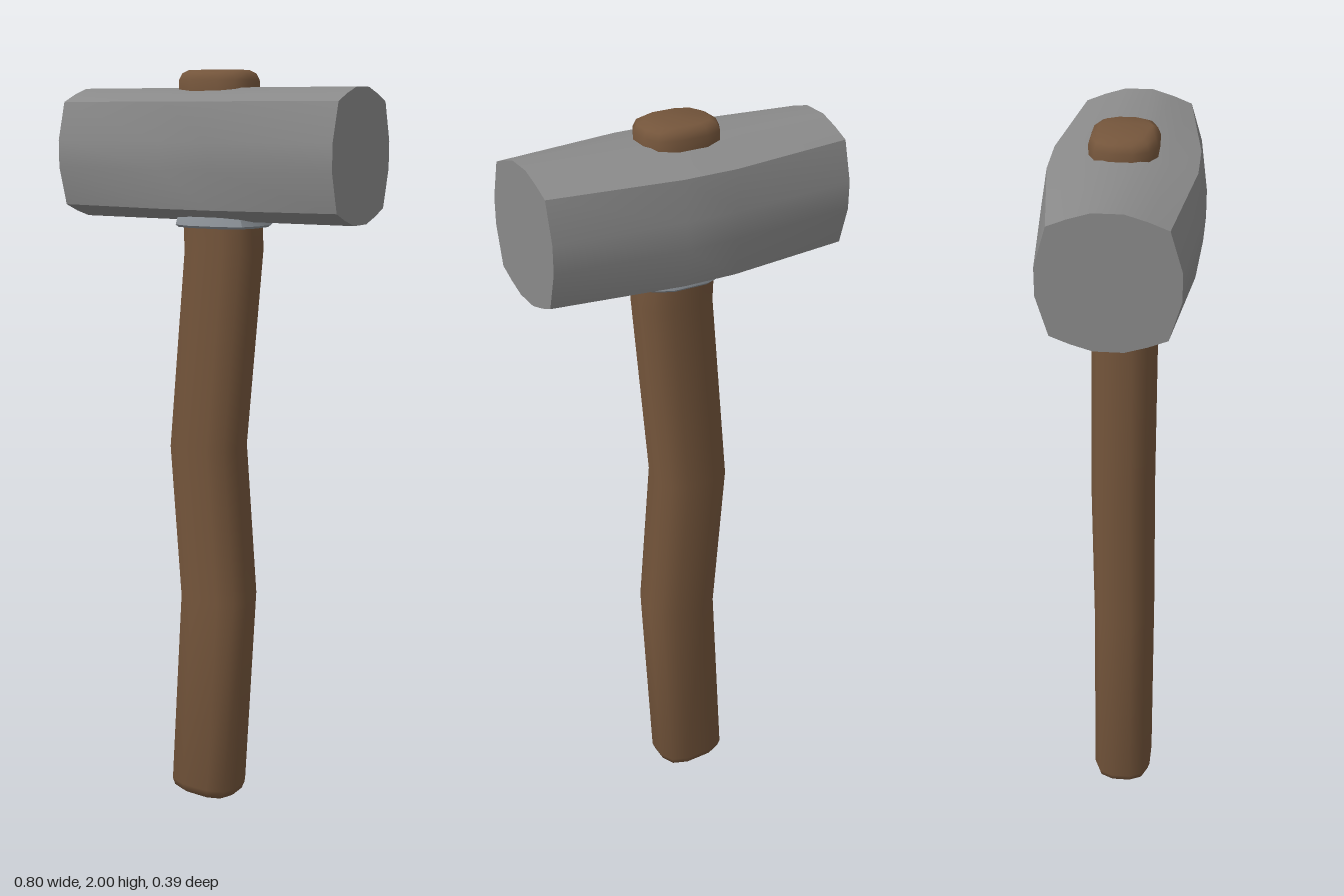
import * as THREE from 'three';
import { toCreasedNormals } from 'three/addons/utils/BufferGeometryUtils.js';

// Skin a list of rings (counter-clockwise about the direction of travel) and cap both ends.
function loft(rings, crease) {
  const n = rings[0].length;
  const pos = rings.flat(2);
  const index = [];
  for (let r = 0; r < rings.length - 1; r++) {
    for (let i = 0; i < n; i++) {
      const a = r * n + i, b = r * n + (i + 1) % n;
      index.push(a, b, b + n, a, b + n, a + n);
    }
  }
  const last = (rings.length - 1) * n;
  for (let i = 1; i < n - 1; i++) {
    index.push(0, i + 1, i);
    index.push(last, last + i, last + i + 1);
  }
  const geometry = new THREE.BufferGeometry();
  geometry.setAttribute('position', new THREE.Float32BufferAttribute(pos, 3));
  geometry.setIndex(index);
  return toCreasedNormals(geometry, crease);
}

// Mirror one quarter outline [u, v], running from the v axis to the u axis, into a closed loop.
function mirrorQuarter(q) {
  const back = [...q].reverse();
  return [
    ...q,
    ...back.map(([u, v]) => [u, -v]),
    ...q.map(([u, v]) => [-u, -v]),
    ...back.map(([u, v]) => [-u, v]),
  ];
}

export function createModel() {
  const wood = new THREE.MeshStandardMaterial({ color: 0x74553b });
  wood.name = 'wood';
  const steel = new THREE.MeshStandardMaterial({ color: 0x8a8a8a });
  steel.name = 'steel';
  const collarSteel = new THREE.MeshStandardMaterial({ color: 0x8c9298 });
  collarSteel.name = 'collarSteel';

  const group = new THREE.Group();
  const add = (name, geometry, material) => {
    const mesh = new THREE.Mesh(geometry, material);
    mesh.name = name;
    group.add(mesh);
  };

  // Rounded twelve-sided section shared by handle and collar
  const oval = mirrorQuarter([[0.04, 0.082], [0.083, 0.064], [0.101, 0.027]]);
  const ovalRing = (cx, y, sx, sz = sx, tilt = 0) =>
    oval.map(([x, z]) => [cx + x * sx, y + x * tilt, z * sz]);

  // Wavy handle: centre x, height, section scale
  const handlePath = [
    [-0.042, 0.003, 0.8], [-0.042, 0.012, 0.93], [-0.041, 0.032, 1],
    [-0.008, 0.59, 1], [-0.04, 1.01, 1], [0.008, 1.54, 1], [0.005, 1.62, 1],
    [-0.006, 1.94, 1], [-0.006, 1.975, 1], [-0.006, 1.992, 0.92], [-0.006, 2, 0.76],
  ];
  add('handle', loft(handlePath.map(([cx, y, s], i) =>
    ovalRing(cx, y, s, s, i < 3 ? -0.03 : 0)), 1.1), wood);

  // Hammer head: bulging faces with sharp long corners, widest in the middle
  const headRing = (x, corner, side) => {
    const crown = 0.168, edge = 0.133, cy = 1.788;
    return mirrorQuarter([
      [corner * 0.26, crown], [corner * 0.65, 0.152], [corner, edge], [side, 0.035],
    ]).map(([z, y]) => [x, cy + y, z]);
  };
  add('head', loft([
    headRing(-0.4, 0.136, 0.165), headRing(-0.07, 0.178, 0.194),
    headRing(0.07, 0.178, 0.194), headRing(0.4, 0.136, 0.165),
  ], 0.6), steel);

  // Thin flared collar under the head
  add('collar', loft([
    ovalRing(0.008, 1.603, 1.12, 1.2), ovalRing(0.008, 1.609, 1.2, 1.27),
    ovalRing(0.006, 1.632, 1.12, 1.2), ovalRing(0.006, 1.645, 1.1, 1.15),
  ], 0.6), collarSteel);

  return group;
}
